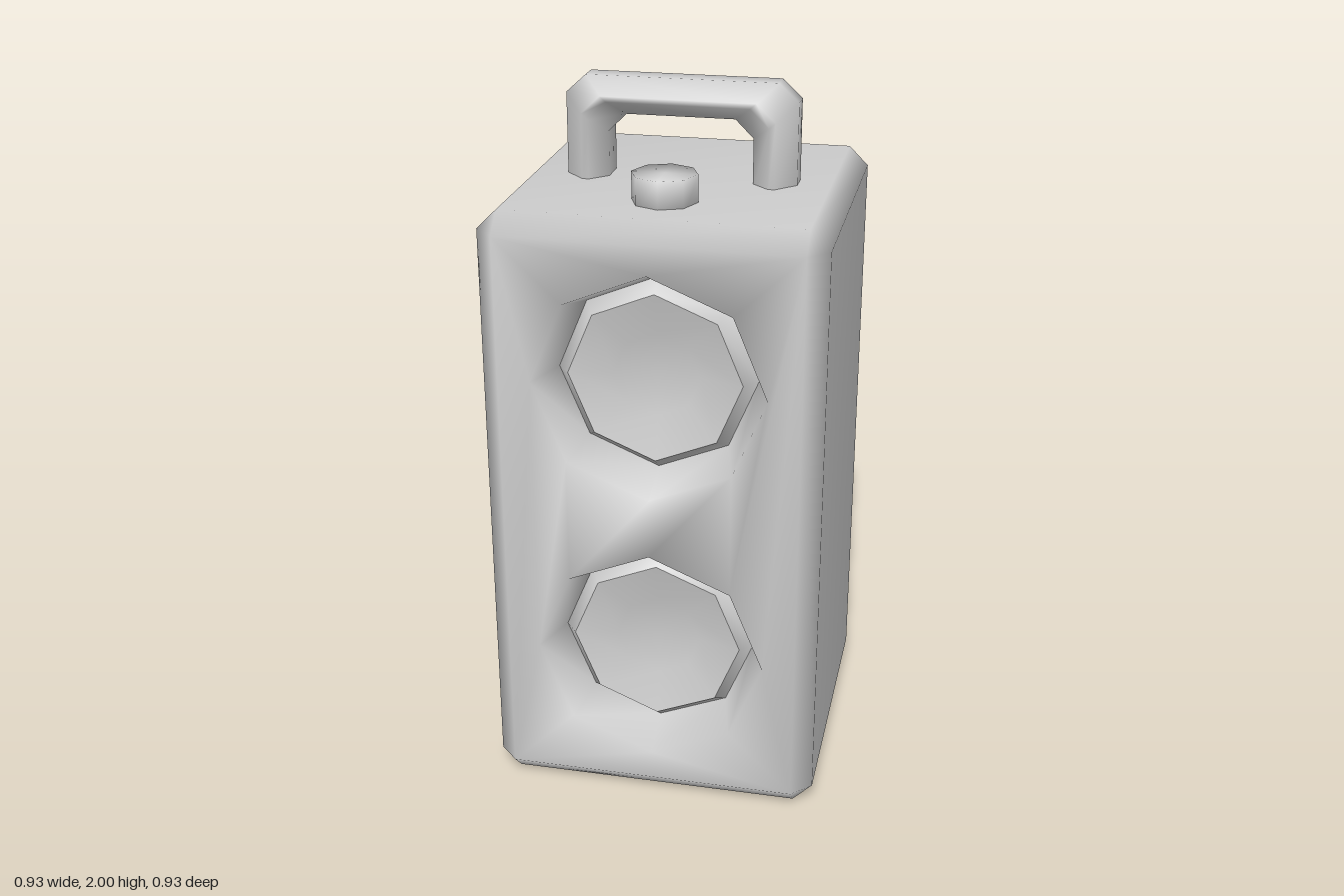
import * as THREE from 'three';
import { mergeVertices, mergeGeometries } from 'three/addons/utils/BufferGeometryUtils.js';

const material = new THREE.MeshStandardMaterial({ color: 0xcccccc });

// Weld corners so that normals run smoothly over the facets
function smooth(...parts) {
  const plain = parts.map((p) => {
    const g = p.index ? p.toNonIndexed() : p;
    g.deleteAttribute('uv');
    g.deleteAttribute('normal');
    return g;
  });
  const g = mergeVertices(mergeGeometries(plain), 1e-4);
  g.computeVertexNormals();
  return g;
}

// Skin a list of equal-length closed rings of [x, y, z]
function loft(rings) {
  const n = rings[0].length, index = [];
  for (let r = 0; r < rings.length - 1; r++) {
    for (let i = 0; i < n; i++) {
      const a = r * n + i, b = r * n + (i + 1) % n;
      index.push(a, b, b + n, a, b + n, a + n);
    }
  }
  const g = new THREE.BufferGeometry();
  g.setAttribute('position', new THREE.Float32BufferAttribute(rings.flat(2), 3));
  g.setIndex(index);
  return g;
}

const octagon = (r, y, z) => Array.from({ length: 8 }, (_, i) => {
  const a = i * Math.PI / 4;
  return [r * Math.cos(a), y + r * Math.sin(a), z];
});

const W = 0.465, H = 1.725, C = 0.055;
const speakerHeights = [0.46, 1.27];
const LIP = 0.32, BASE = 0.275, FACE = 0.24;

function bodyGeometry() {
  // Bevelled box as rings from back to front
  const corners = [[1, -1], [1, 1], [-1, 1], [-1, -1]];
  const ring = (z, full) => corners.flatMap(([sx, sy], k) => {
    const x = sx * (W - C), y = H / 2 + sy * (H / 2 - C);
    const side = [x + (full ? sx * C : 0), y, z];
    const end = [x, y + (full ? sy * C : 0), z];
    return k % 2 ? [side, end] : [end, side];
  });
  const shell = loft([ring(-W, false), ring(-W + C, true), ring(W - C, true), ring(W, false)]);

  // Front panel with two octagonal openings, and a plain back
  const outline = corners.map(([sx, sy]) => new THREE.Vector2(sx * (W - C), H / 2 + sy * (H / 2 - C)));
  const panel = new THREE.Shape(outline);
  for (const y of speakerHeights) {
    panel.holes.push(new THREE.Path(octagon(LIP, y, 0).map(([px, py]) => new THREE.Vector2(px, py))));
  }
  const front = new THREE.ShapeGeometry(panel).translate(0, 0, W);
  const back = new THREE.ShapeGeometry(new THREE.Shape(outline)).rotateY(Math.PI).translate(0, 0, -W);

  // Recess walls narrowing inwards
  const recesses = speakerHeights.map((y) => loft([octagon(BASE, y, 0.33), octagon(LIP, y, W)].map((r) => r.reverse())));
  return smooth(shell, front, back, ...recesses);
}

// Handle: one bevelled section swept between an inner and an outer path
function handleGeometry() {
  const inner = [[0.2, 1.7], [0.2, 1.85], [0.15, 1.9]];
  const outer = [[0.32, 1.7], [0.32, 1.95], [0.265, 2.0]];
  const mirror = (path) => [...path, ...path.map(([x, y]) => [-x, y]).reverse()];
  const section = [[0, -0.04], [0.4, -0.085], [0.55, -0.085], [1, -0.03],
    [1, 0.03], [0.55, 0.085], [0.4, 0.085], [0, 0.04]];
  const a = mirror(inner), b = mirror(outer);
  const rings = a.map(([x, y], i) => section.map(([t, z]) => [
    THREE.MathUtils.lerp(x, b[i][0], t), THREE.MathUtils.lerp(y, b[i][1], t), z,
  ]).reverse());
  return smooth(loft(rings));
}

export function createModel() {
  const model = new THREE.Group();
  const add = (name, geometry) => {
    const mesh = new THREE.Mesh(geometry, material);
    mesh.name = name;
    model.add(mesh);
    return mesh;
  };

  add('body', bodyGeometry());
  add('handle', handleGeometry());
  add('topKnob', smooth(new THREE.CylinderGeometry(0.09, 0.09, 0.1, 8))).position.set(0, 1.75, 0.24);

  // Speakers: sloping rim around a shallow dish
  speakerHeights.forEach((y, i) => {
    const speaker = new THREE.Group();
    speaker.name = i ? 'upperSpeaker' : 'lowerSpeaker';
    const rim = new THREE.Mesh(smooth(loft([octagon(BASE, y, 0.33), octagon(FACE, y, 0.375)])), material);
    rim.name = 'speakerRim';
    const dish = new THREE.Mesh(smooth(loft([octagon(FACE, y, 0.375), octagon(0.12, y, 0.345), octagon(0, y, 0.335)])), material);
    dish.name = 'speakerDish';
    speaker.add(rim, dish);
    model.add(speaker);
  });
  return model;
}
